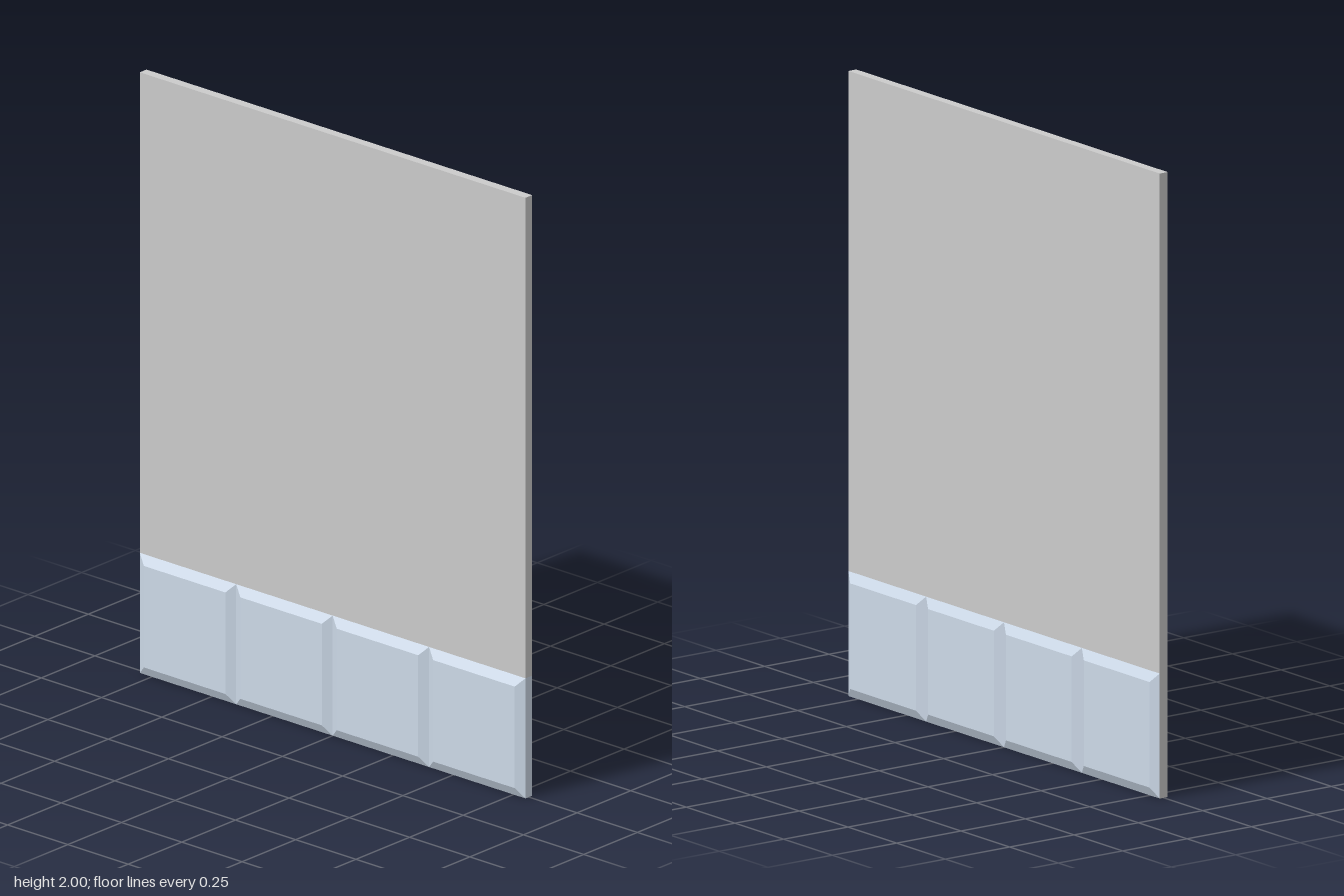
import * as THREE from 'three';

const HEIGHT = 2, DEPTH = 1.6, THICK = 0.031;
const TILE = 0.4, BEVEL = 0.031, RELIEF = 0.016, COUNT = 4;

// Square tile lying in the yz plane, its outer (+x) face inset to form bevels
function tileGeometry() {
  const geo = new THREE.BoxGeometry(RELIEF, TILE, TILE);
  const p = geo.attributes.position;
  for (let i = 0; i < p.count; i++) {
    if (p.getX(i) > 0) {
      p.setY(i, p.getY(i) - Math.sign(p.getY(i)) * BEVEL);
      p.setZ(i, p.getZ(i) - Math.sign(p.getZ(i)) * BEVEL);
    }
  }
  geo.computeVertexNormals();
  return geo;
}

export function createModel() {
  const grey = new THREE.MeshStandardMaterial({ color: 0xcccccc, flatShading: true });
  const blue = new THREE.MeshStandardMaterial({ color: 0xccd9e8, flatShading: true });
  const group = new THREE.Group();
  group.name = 'tiledWall';

  // Plain panel above the tiles
  const panel = new THREE.Mesh(new THREE.BoxGeometry(THICK, HEIGHT - TILE, DEPTH), grey);
  panel.name = 'wallPanel';
  panel.position.y = (HEIGHT + TILE) / 2;
  group.add(panel);

  // Core behind the tiles, with a tile-coloured front edge
  const core = new THREE.Mesh(
    new THREE.BoxGeometry(THICK, TILE, DEPTH),
    [grey, grey, grey, grey, blue, grey]
  );
  core.name = 'baseCore';
  core.position.y = TILE / 2;
  group.add(core);

  // Row of bevelled tiles along the foot of both faces
  const geo = tileGeometry();
  for (const side of [1, -1]) {
    for (let i = 0; i < COUNT; i++) {
      const tile = new THREE.Mesh(geo, blue);
      tile.name = `${side > 0 ? 'left' : 'right'}Tile${i + 1}`;
      tile.position.set(side * (THICK + RELIEF) / 2, TILE / 2, (i + 0.5) * TILE - DEPTH / 2);
      if (side < 0) tile.rotation.y = Math.PI;
      group.add(tile);
    }
  }
  return group;
}
